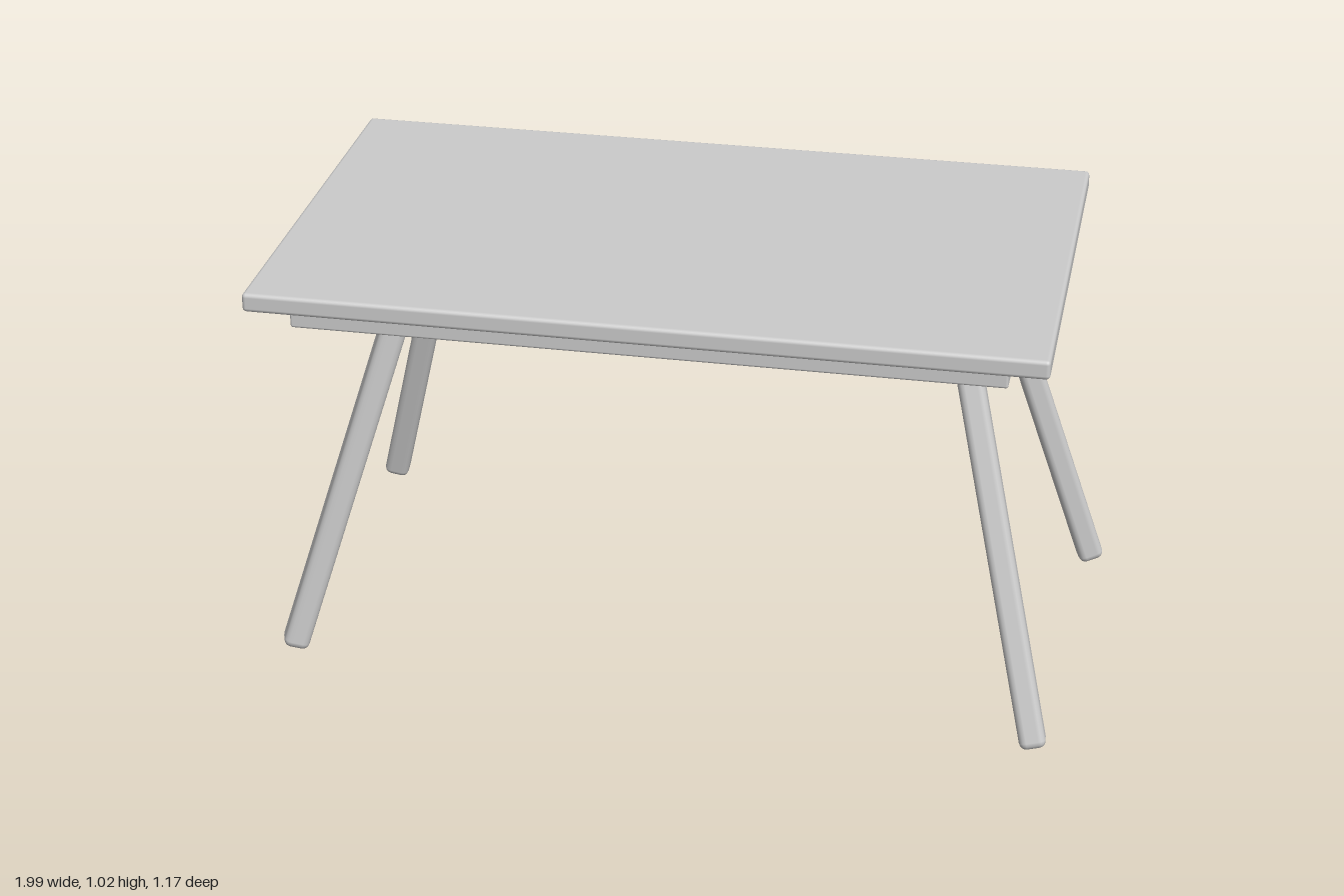
import * as THREE from 'three';
import { RoundedBoxGeometry } from 'three/addons/geometries/RoundedBoxGeometry.js';

export function createModel() {
  const model = new THREE.Group();
  const material = new THREE.MeshStandardMaterial({ color: 0xcccccc });

  // Board with softened edges, given by its extents and slightly skewed like the hand-set top
  const board = (name, [x0, x1], [y0, y1], [z0, z1], radius) => {
    const geometry = new RoundedBoxGeometry(x1 - x0, y1 - y0, z1 - z0, 2, radius);
    geometry.translate((x0 + x1) / 2, (y0 + y1) / 2, (z0 + z1) / 2);
    const p = geometry.attributes.position;
    for (let i = 0; i < p.count; i++) {
      const x = p.getX(i), z = p.getZ(i);
      p.setX(i, x + 0.012 * z);
      p.setZ(i, z + 0.003 * x);
    }
    const mesh = new THREE.Mesh(geometry, material);
    mesh.name = name;
    model.add(mesh);
  };

  board('tableTop', [-0.993, 0.897], [0.97, 1.017], [-0.582, 0.557], 0.01);

  // Apron frame under the top
  const left = 0.8, right = -0.895, front = 0.502, back = -0.52, t = 0.035;
  const height = [0.914, 0.972];
  board('frontApron', [right, left], height, [front - t, front], 0.006);
  board('backApron', [right, left], height, [back, back + t], 0.006);
  board('leftApron', [left - t, left], height, [back + t / 2, front - t / 2], 0.006);
  board('rightApron', [right, right + t], height, [back + t / 2, front - t / 2], 0.006);

  // Splayed square legs with rounded edges: foot and head as [x, z], yaw about the leg's own axis
  const up = new THREE.Vector3(0, 1, 0);
  const legs = [
    ['frontLeftLeg', [0.91, 0.555], [0.675, 0.32], 0.1],
    ['backLeftLeg', [0.962, -0.402], [0.645, -0.307], 0.3],
    ['frontRightLeg', [-0.95, 0.43], [-0.65, 0.31], 0.35],
    ['backRightLeg', [-0.955, -0.53], [-0.695, -0.315], 0.1],
  ];
  for (const [name, foot, head, yaw] of legs) {
    const a = new THREE.Vector3(foot[0], 0.005, foot[1]);
    const b = new THREE.Vector3(head[0], 0.98, head[1]);
    const axis = b.clone().sub(a);
    const leg = new THREE.Mesh(new RoundedBoxGeometry(0.064, axis.length(), 0.064, 2, 0.018), material);
    leg.position.copy(a).add(b).multiplyScalar(0.5);
    leg.quaternion.setFromUnitVectors(up, axis.normalize());
    leg.rotateY(yaw);
    leg.name = name;
    model.add(leg);
  }
  return model;
}
